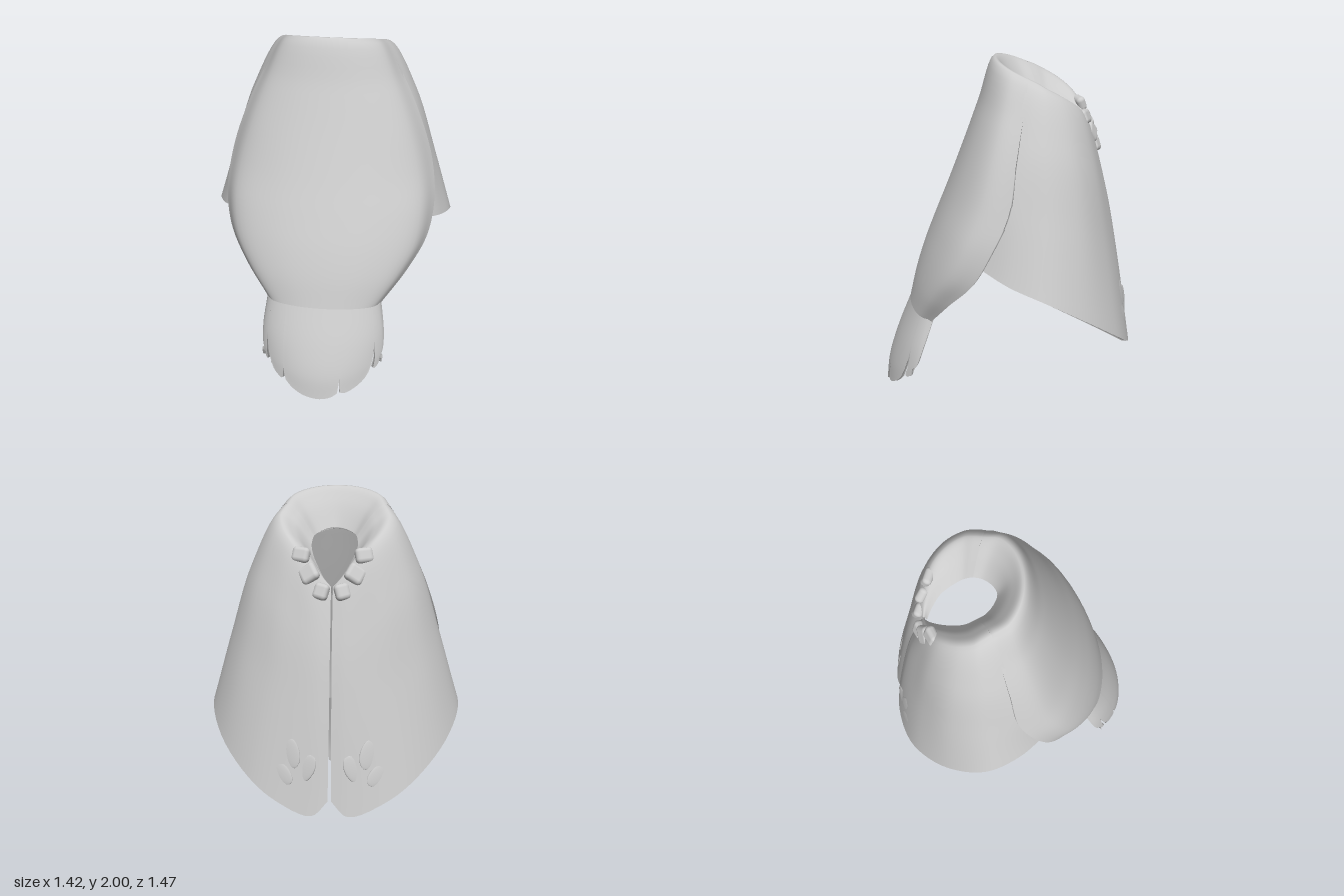
import * as THREE from 'three';
import { RoundedBoxGeometry } from 'three/addons/geometries/RoundedBoxGeometry.js';

const V = (p) => new THREE.Vector3(...p);
const curve = (pts) => new THREE.CatmullRomCurve3(pts.map(V));
const mirror = ([x, y, z]) => [-x, y, z];
const lerp = THREE.MathUtils.lerp;

// Smooth sheet through rows of points (u along a row, v across rows), with an
// inner layer and closed edges
function sheetGeometry(rows, nu, nv, thickness) {
  const rowCurves = rows.map(curve);
  const pos = [], idx = [];
  const at = (i, j) => i * (nv + 1) + j;
  for (let i = 0; i <= nu; i++) {
    const across = new THREE.CatmullRomCurve3(rowCurves.map((c) => c.getPoint(i / nu)));
    for (let j = 0; j <= nv; j++) pos.push(...across.getPoint(j / nv).toArray());
  }
  const quad = (a, b, c, d) => idx.push(a, b, c, c, b, d);
  for (let i = 0; i < nu; i++) {
    for (let j = 0; j < nv; j++) quad(at(i, j), at(i, j + 1), at(i + 1, j), at(i + 1, j + 1));
  }
  const g = new THREE.BufferGeometry();
  const setPositions = () => g.setAttribute('position', new THREE.Float32BufferAttribute(pos, 3));
  setPositions();
  g.setIndex(idx);
  g.computeVertexNormals();

  const normals = [...g.attributes.normal.array];
  const n = pos.length / 3;
  pos.push(...pos.map((p, k) => p - normals[k] * thickness));
  normals.push(...normals.map((c) => -c));
  for (let i = 0; i < nu; i++) {
    for (let j = 0; j < nv; j++) quad(n + at(i, j), n + at(i + 1, j), n + at(i, j + 1), n + at(i + 1, j + 1));
    quad(at(i, 0), at(i + 1, 0), n + at(i, 0), n + at(i + 1, 0));
    quad(at(i, nv), n + at(i, nv), at(i + 1, nv), n + at(i + 1, nv));
  }
  for (let j = 0; j < nv; j++) {
    quad(at(0, j), n + at(0, j), at(0, j + 1), n + at(0, j + 1));
    quad(at(nu, j), at(nu, j + 1), n + at(nu, j), n + at(nu, j + 1));
  }
  setPositions();
  g.setAttribute('normal', new THREE.Float32BufferAttribute(normals, 3));
  g.setIndex(idx);
  return g;
}

// One curved row: half width, edge y, edge z, centre y, centre z, roundness
const arcPoint = ([w, yE, zE, yC, zC, power = 0.5], u) => {
  const c = Math.max(0, 1 - u * u) ** power;
  return [w * u, lerp(yE, yC, c), lerp(zE, zC, c)];
};

// Rounded collar row between the neck hole and the crest
const collarRow = (neck, crest) =>
  neck.map((p, i) => [0, 1, 2].map((k) => lerp(p[k], crest[i][k], 0.55) + (k === 1 ? 0.03 : 0)));

export function createModel() {
  const model = new THREE.Group();
  model.name = 'cloak';
  const cloth = new THREE.MeshStandardMaterial({ color: 0xcccccc, side: THREE.DoubleSide });
  cloth.name = 'pale grey';

  const add = (name, geometry) => {
    const mesh = new THREE.Mesh(geometry, cloth);
    mesh.name = name;
    model.add(mesh);
    return mesh;
  };

  // Front panel with its part of the collar
  const frontRows = [
    [0.28, 1.92, -0.12, 2.0, 0.07],
    [0.40, 1.72, -0.08, 1.75, 0.16],
    [0.50, 1.5, -0.04, 1.5, 0.25],
    [0.58, 1.25, 0.0, 1.25, 0.345],
    [0.607, 1.03, 0.1, 1.05, 0.425],
    [0.575, 0.84, 0.2, 0.88, 0.49],
    [0.47, 0.68, 0.33, 0.72, 0.54],
    [0.335, 0.52, 0.44, 0.55, 0.58],
  ];
  const steps = [-3, -2, -1, 0, 1, 2, 3].map((k) => Math.sin((k * Math.PI) / 6));
  const frontPts = frontRows.map((r) => steps.map((u) => arcPoint(r, u)));
  const halfNeck = [[0.05, 1.775, -0.09], [0.1, 1.76, -0.14], [0.12, 1.75, -0.19]];
  const frontNeck = [...halfNeck.map(mirror).reverse(), [0, 1.78, -0.07], ...halfNeck];
  add('frontPanel', sheetGeometry(
    [frontNeck, collarRow(frontNeck, frontPts[0]), ...frontPts], 36, 54, 0.022));

  // Feathered tail: strips that part along slits of two depths
  const tailRows = [
    [0.331, 0.535, 0.428, 0.565, 0.57],
    [0.355, 0.36, 0.49, 0.33, 0.665, 0.65],
    [0.355, 0.25, 0.53, 0.15, 0.72, 0.8],
    [0.34, 0.17, 0.56, 0.01, 0.738, 0.85],
  ];
  const slits = [-1, -0.9, -0.62, 0.33, 0.86, 1];
  const shallow = [0, 0, 0, 0.025], deep = [0, 0, 0.02, 0.035], none = [0, 0, 0, 0];
  const gaps = [none, deep, shallow, shallow, deep, none];
  for (let k = 0; k < slits.length - 1; k++) {
    const rows = tailRows.map((r, j) => [-1, -0.75, -0.4, 0, 0.4, 0.75, 1].map((s) => {
      const u = lerp(slits[k] + gaps[k][j], slits[k + 1] - gaps[k + 1][j], (s + 1) / 2);
      const p = arcPoint(r, u);
      if (j === 3) p[1] = 0.005 + 0.17 * u * u + 0.025 * s ** 4;
      return p;
    }));
    add('tailFeather', sheetGeometry(rows, 14, 16, 0.015));
  }

  // Back half: matching columns from under the front panel to the centre opening
  const neck = [
    [0.12, 1.75, -0.19], [0.125, 1.735, -0.215], [0.128, 1.71, -0.25], [0.115, 1.67, -0.31],
    [0.09, 1.63, -0.37], [0.06, 1.58, -0.41], [0.03, 1.53, -0.44], [0.004, 1.49, -0.46],
  ];
  const crest = [
    [0.279, 1.919, -0.12], [0.297, 1.897, -0.17], [0.31, 1.87, -0.22], [0.29, 1.82, -0.31],
    [0.23, 1.75, -0.4], [0.15, 1.66, -0.455], [0.07, 1.56, -0.485], [0.005, 1.5, -0.49],
  ];
  const shoulder = [
    [0.43, 1.63, -0.04], [0.463, 1.6, -0.12], [0.47, 1.58, -0.22], [0.42, 1.54, -0.36],
    [0.31, 1.45, -0.475], [0.19, 1.35, -0.535], [0.075, 1.25, -0.575], [0.005, 1.22, -0.575],
  ];
  const waist = [
    [0.54, 1.27, 0.04], [0.577, 1.23, -0.08], [0.59, 1.19, -0.23], [0.515, 1.12, -0.41],
    [0.37, 1.02, -0.54], [0.23, 0.93, -0.61], [0.085, 0.86, -0.65], [0.006, 0.86, -0.645],
  ];
  const backHem = [
    [0.56, 0.93, 0.15], [0.655, 0.865, 0], [0.71, 0.79, -0.2], [0.635, 0.645, -0.43],
    [0.46, 0.475, -0.62], [0.3, 0.37, -0.7], [0.1, 0.3, -0.737], [0.01, 0.38, -0.72],
  ];
  const backRows = [neck, collarRow(neck, crest), crest, shoulder, waist, backHem];

  for (const side of [1, -1]) {
    const order = (row) => (side > 0 ? row : row.map(mirror).reverse());
    add(side > 0 ? 'leftBackPanel' : 'rightBackPanel',
      sheetGeometry(backRows.map(order), 35, 40, 0.022));

    // Pebbles around the neck
    const stones = [
      [0.057, 1.505, -0.503, 0.085, 0.09, 0.3],
      [0.125, 1.595, -0.472, 0.105, 0.1, -0.5],
      [0.17, 1.69, -0.432, 0.1, 0.085, 0.2],
    ];
    for (const [x, y, z, w, h, turn] of stones) {
      const stone = add('neckStone', new RoundedBoxGeometry(w, h, 0.055, 2, 0.024));
      stone.position.set(x * side, y, z);
      stone.rotation.set(0.4, side * -0.35, side * turn);
    }

    // Barely raised petals above the back hem
    for (const [x, y, z, turn] of [[0.13, 0.56, -0.692, 0.5], [0.21, 0.64, -0.667, -0.2], [0.27, 0.53, -0.672, -0.8]]) {
      const petal = add('hemPetal', new THREE.SphereGeometry(1, 16, 10));
      petal.scale.set(0.05, 0.085, 0.006);
      petal.position.set(x * side, y, z);
      petal.rotation.set(0.17, side * -0.3, side * turn);
    }
  }
  return model;
}
